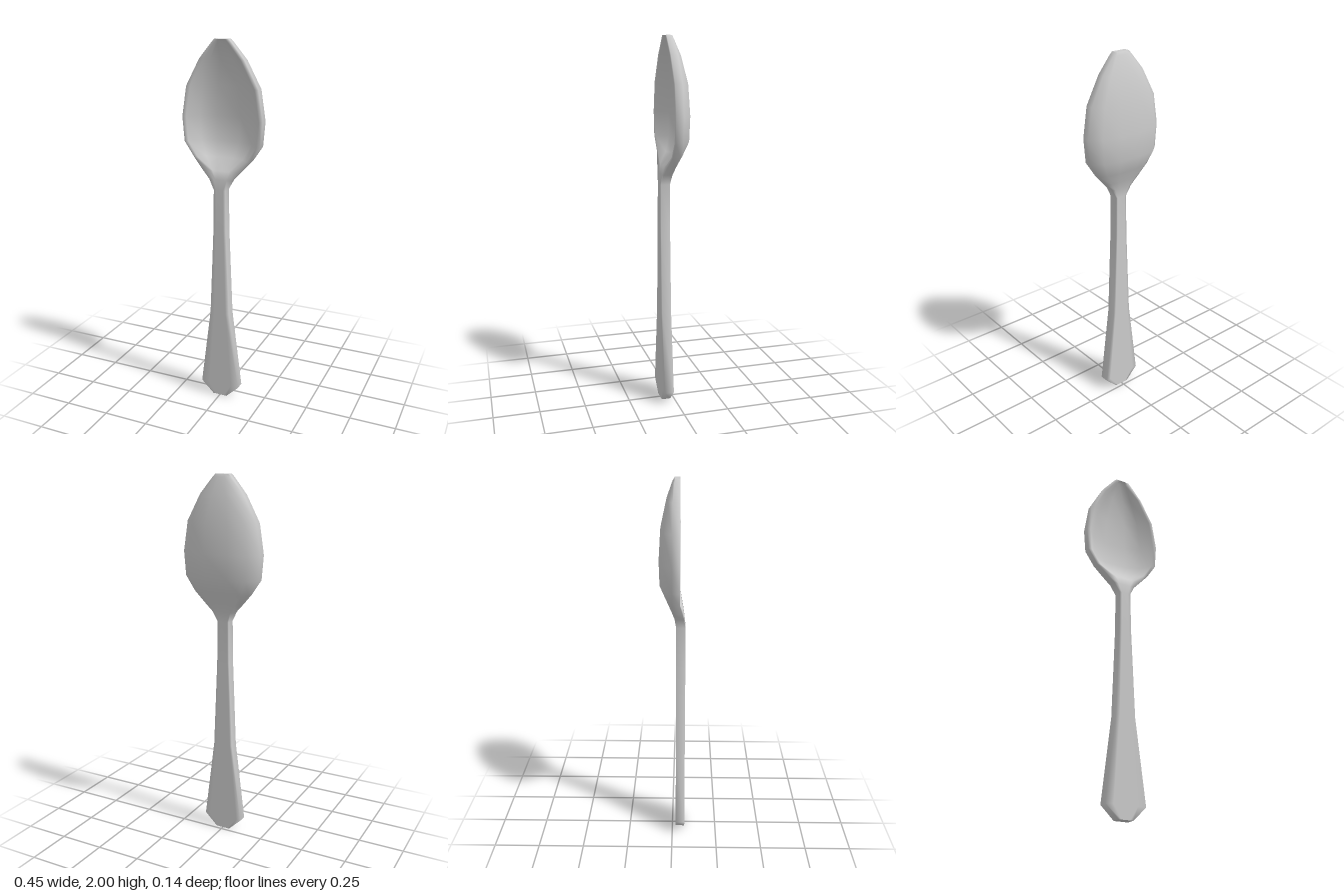
import * as THREE from 'three';

// Stations up the spoon: height, half width, front z, side z, back z, dish depth
const STATIONS = [
  [0, 0.04, 0.07, 0.02, 0.02, 0],
  [0.07, 0.113, 0.07, 0.02, 0.02, 0],
  [0.52, 0.056, 0.07, 0.02, 0.02, 0],
  [1.0, 0.036, 0.07, 0.02, 0.02, 0],
  [1.23, 0.033, 0.069, 0.02, 0.02, 0],
  [1.285, 0.062, 0.062, 0.014, 0.01, 0],
  [1.33, 0.105, 0.053, 0.008, -0.006, 0],
  [1.39, 0.16, 0.04, 0, -0.03, 0.05],
  [1.47, 0.214, 0.04, 0, -0.065, 0.088],
  [1.6, 0.225, 0.04, 0, -0.069, 0.092],
  [1.76, 0.2, 0.04, 0, -0.06, 0.083],
  [1.9, 0.125, 0.04, 0.003, -0.03, 0.055],
  [1.985, 0.055, 0.04, 0.01, 0, 0.014],
  [2.0, 0.04, 0.04, 0.01, 0.01, 0],
];

// One closed cross-section: rim and dish across the front, then the back
function section([y, w, front, side, back, depth]) {
  const inner = depth > 0 ? w - Math.min(0.022, w * 0.35) : w * 0.6;
  const half = [
    [w, front], [inner, front],
    [inner * 0.75, front - depth * 0.7], [inner * 0.32, front - depth],
  ];
  const rear = [[w, side], [w * 0.76, side + (back - side) * 0.7], [w * 0.31, back]];
  const mirror = (pts) => pts.map(([x, z]) => [-x, z]);
  return [...half, ...mirror(half).reverse(), ...mirror(rear), ...rear.reverse()]
    .map(([x, z]) => [x, y, z]);
}

function makeGeometry(points, index) {
  const geometry = new THREE.BufferGeometry();
  geometry.setAttribute('position', new THREE.Float32BufferAttribute(points.flat(), 3));
  geometry.setIndex(index);
  geometry.computeVertexNormals();
  return geometry;
}

// Smooth skin through a run of sections
function loft(loops) {
  const n = loops[0].length;
  const index = [];
  for (let i = 0; i < loops.length - 1; i++) {
    for (let j = 0; j < n; j++) {
      const k = (j + 1) % n;
      const a = i * n + j, b = a + n, c = (i + 1) * n + k, d = i * n + k;
      index.push(a, b, c, a, c, d);
    }
  }
  return makeGeometry(loops.flat(), index);
}

// Flat end face
function cap(loop, up) {
  const pts = up ? [...loop].reverse() : loop;
  const index = [];
  for (let j = 1; j < pts.length - 1; j++) index.push(0, j, j + 1);
  return makeGeometry(pts, index);
}

export function createModel() {
  const spoon = new THREE.Group();
  spoon.name = 'spoon';
  const material = new THREE.MeshStandardMaterial({ color: 0xcccccc });
  const add = (name, geometry) => {
    const mesh = new THREE.Mesh(geometry, material);
    mesh.name = name;
    spoon.add(mesh);
  };

  const loops = STATIONS.map(section);
  add('handleAndBowl', loft(loops));
  add('handleEnd', cap(loops[0], false));
  add('bowlTip', cap(loops[loops.length - 1], true));
  return spoon;
}
